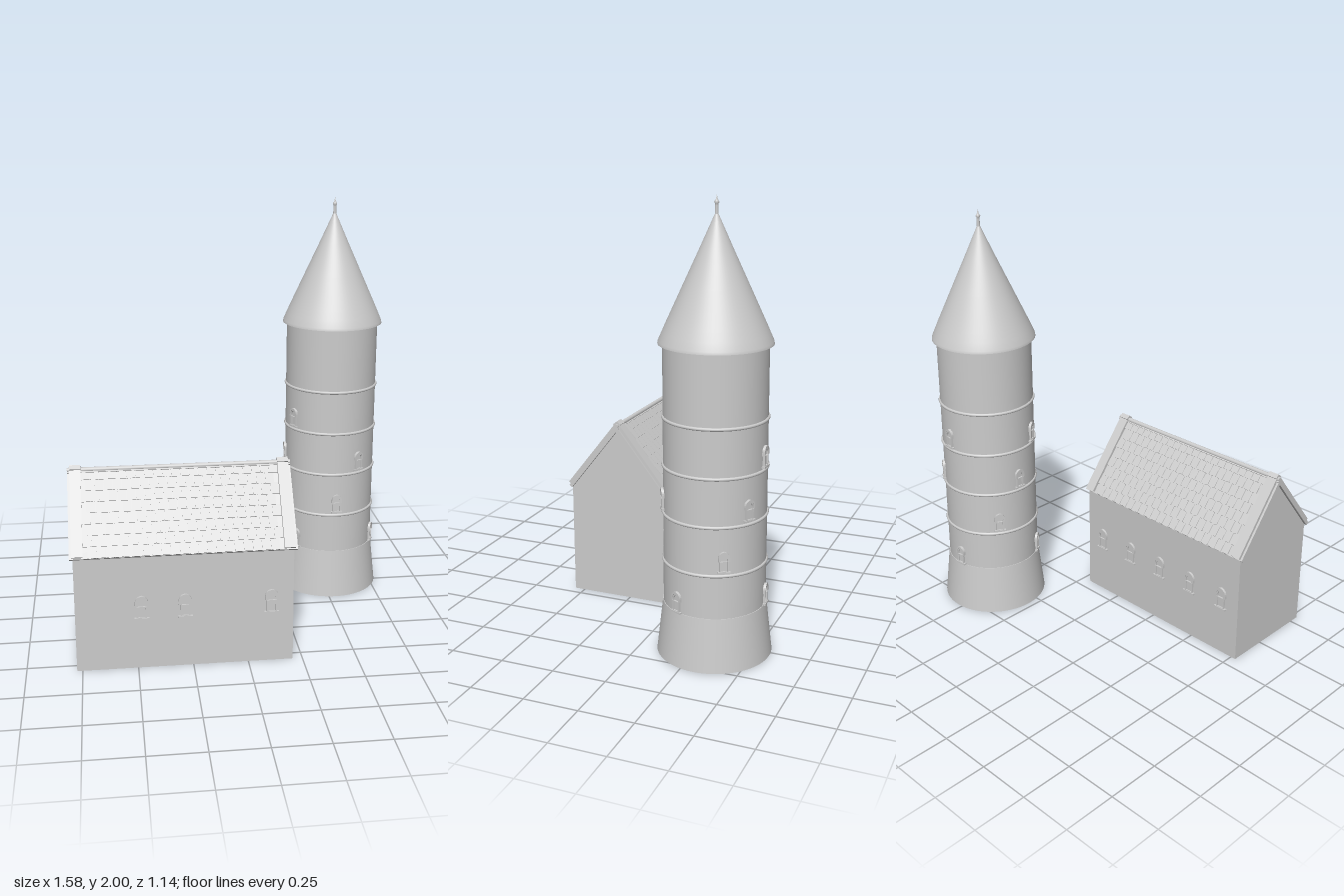
import * as THREE from 'three';
import { mergeGeometries } from 'three/addons/utils/BufferGeometryUtils.js';

const material = new THREE.MeshStandardMaterial({ color: 0xcccccc });
const twoSided = new THREE.MeshStandardMaterial({ color: 0xcccccc, side: THREE.DoubleSide });

function add(parent, name, geometry, x = 0, y = 0, z = 0, mat = material) {
  const mesh = new THREE.Mesh(geometry, mat);
  mesh.name = name;
  mesh.position.set(x, y, z);
  parent.add(mesh);
  return mesh;
}

// Pointed-arch outline of half width w, from y0 to spring line ys, tip at yt
function trace(path, w, y0, ys, yt) {
  path.moveTo(-w, y0);
  path.lineTo(w, y0);
  path.lineTo(w, ys);
  path.quadraticCurveTo(w, yt - 0.006, 0, yt);
  path.quadraticCurveTo(-w, yt - 0.006, -w, ys);
  path.closePath();
  return path;
}

function archRing(outer, inner, depth) {
  const shape = trace(new THREE.Shape(), ...outer);
  shape.holes.push(trace(new THREE.Path(), ...inner));
  return new THREE.ExtrudeGeometry(shape, { depth, bevelEnabled: false, curveSegments: 6 });
}

// Window parts, standing on y = 0 and facing +z
const frameGeo = archRing([0.023, 0.005, 0.075, 0.106], [0.016, 0.012, 0.073, 0.097], 0.011);
const hoodGeo = archRing([0.03, 0.064, 0.08, 0.115], [0.022, 0.0645, 0.076, 0.105], 0.014);
const paneGeo = new THREE.ExtrudeGeometry(trace(new THREE.Shape(), 0.018, 0.005, 0.074, 0.1),
  { depth: 0.006, bevelEnabled: false, curveSegments: 6 });
const sillGeo = new THREE.BoxGeometry(0.066, 0.009, 0.024);

function makeWindow(scale) {
  const win = new THREE.Group();
  win.name = 'archedWindow';
  add(win, 'windowFrame', frameGeo, 0, 0, -0.002);
  add(win, 'windowHood', hoodGeo, 0, 0, -0.003);
  add(win, 'windowPane', paneGeo, 0, 0, -0.003);
  add(win, 'windowSill', sillGeo, 0, 0.0045, 0);
  win.scale.set(scale, scale, 1);
  return win;
}

// One roof slope: y is the outward normal, z runs down from the ridge
function makeSlope(angle) {
  const slope = new THREE.Group();
  slope.name = 'roofSlope';
  add(slope, 'roofSlab', new THREE.BoxGeometry(1.01, 0.017, 0.415), 0, -0.0105, 0.2075);

  // Staggered courses of tilted tiles
  const tiles = [];
  const courses = 8, pitch = 0.412 / courses, tileWidth = 0.89 / 22;
  for (let row = 0; row < courses; row++) {
    const shift = row % 2 ? 0.5 : 0;
    for (let i = 0; i < 22 + (row % 2 ? -1 : 0); i++) {
      const tile = new THREE.BoxGeometry(tileWidth - 0.002, 0.005, pitch + 0.004);
      tile.rotateX(-0.07);
      tile.translate(-0.445 + (i + 0.5 + shift) * tileWidth, -0.0005, (row + 0.5) * pitch);
      tiles.push(tile);
    }
  }
  add(slope, 'roofTiles', mergeGeometries(tiles));

  // Raised verge strips near both gables
  for (const side of [-1, 1]) {
    add(slope, 'vergeStrip', new THREE.BoxGeometry(0.05, 0.024, 0.425), side * 0.47, 0, 0.1975);
  }
  slope.rotation.order = 'YXZ';
  slope.rotation.x = angle;
  return slope;
}

function makeHall() {
  const hall = new THREE.Group();
  hall.name = 'hall';
  hall.position.set(-0.285, 0, 0.305);

  // Walls with pointed gables
  const gable = new THREE.Shape([[-0.245, 0], [0.245, 0], [0.245, 0.54], [0, 0.855], [-0.245, 0.54]]
    .map(([x, y]) => new THREE.Vector2(x, y)));
  const walls = new THREE.ExtrudeGeometry(gable, { depth: 0.98, bevelEnabled: false });
  walls.translate(0, 0, -0.49);
  walls.rotateY(Math.PI / 2);
  add(hall, 'hallWalls', walls);

  // Roof
  const angle = Math.atan2(0.335, 0.265);
  for (const turn of [0, Math.PI]) {
    const slope = makeSlope(angle);
    slope.rotation.y = turn;
    slope.position.y = 0.875;
    hall.add(slope);
  }
  const ridge = new THREE.CylinderGeometry(0.011, 0.011, 1.01, 12);
  ridge.rotateZ(Math.PI / 2);
  add(hall, 'ridgeRoll', ridge, 0, 0.871, 0);

  // Windows: three in front, five behind
  const place = (slot, side) => {
    const win = makeWindow(1);
    win.position.set(slot * 0.195, 0.24, side * 0.245);
    win.rotation.y = side > 0 ? 0 : Math.PI;
    hall.add(win);
  };
  for (const slot of [-1, 0, 2]) place(slot, 1);
  for (const slot of [-2, -1, 0, 1, 2]) place(slot, -1);
  return hall;
}

function makeTower() {
  const tower = new THREE.Group();
  tower.name = 'tower';
  tower.position.set(0.532, 0, -0.315);
  const radius = 0.225, sides = 64;

  add(tower, 'flaredBase', new THREE.CylinderGeometry(0.228, 0.255, 0.24, sides), 0, 0.12, 0);
  add(tower, 'towerShaft', new THREE.CylinderGeometry(radius, radius, 1.17, sides), 0, 0.815, 0);

  // String courses
  for (const y of [0.435, 0.65, 0.862, 1.075]) {
    const ring = new THREE.TorusGeometry(radius, 0.0075, 8, sides);
    ring.rotateX(Math.PI / 2);
    add(tower, 'stringCourse', ring, 0, y, 0);
  }

  // Conical roof with a slightly steeper skirt, and its soffit
  const lathe = (points) => new THREE.LatheGeometry(points.map(([r, y]) => new THREE.Vector2(r, y)), sides);
  add(tower, 'coneRoof', lathe([[0.245, 1.388], [0.243, 1.4], [0.228, 1.434], [0.211, 1.473],
    [0.14, 1.629], [0.07, 1.782], [0.006, 1.925]]), 0, 0, 0, twoSided);
  add(tower, 'roofSoffit', lathe([[0.2, 1.39], [0.245, 1.388]]), 0, 0, 0, twoSided);
  add(tower, 'finial', lathe([[0.008, 1.91], [0.007, 1.955], [0.0075, 1.962], [0.011, 1.968],
    [0.0075, 1.974], [0.004, 1.98], [0, 2]]), 0, 0, 0, twoSided);

  // Windows climbing in a spiral: height, then bearings in degrees from the front
  const rows = [[0.24, [65, 185, 305]], [0.45, [0, 120, 240]], [0.665, [29, 149, 269]], [0.875, [177, 297]]];
  for (const [y, bearings] of rows) {
    for (const bearing of bearings) {
      const a = THREE.MathUtils.degToRad(bearing);
      const win = makeWindow(0.84);
      win.position.set(Math.sin(a) * radius, y, Math.cos(a) * radius);
      win.rotation.y = a;
      tower.add(win);
    }
  }
  return tower;
}

export function createModel() {
  const model = new THREE.Group();
  model.name = 'hallAndTower';
  model.add(makeHall(), makeTower());
  return model;
}
